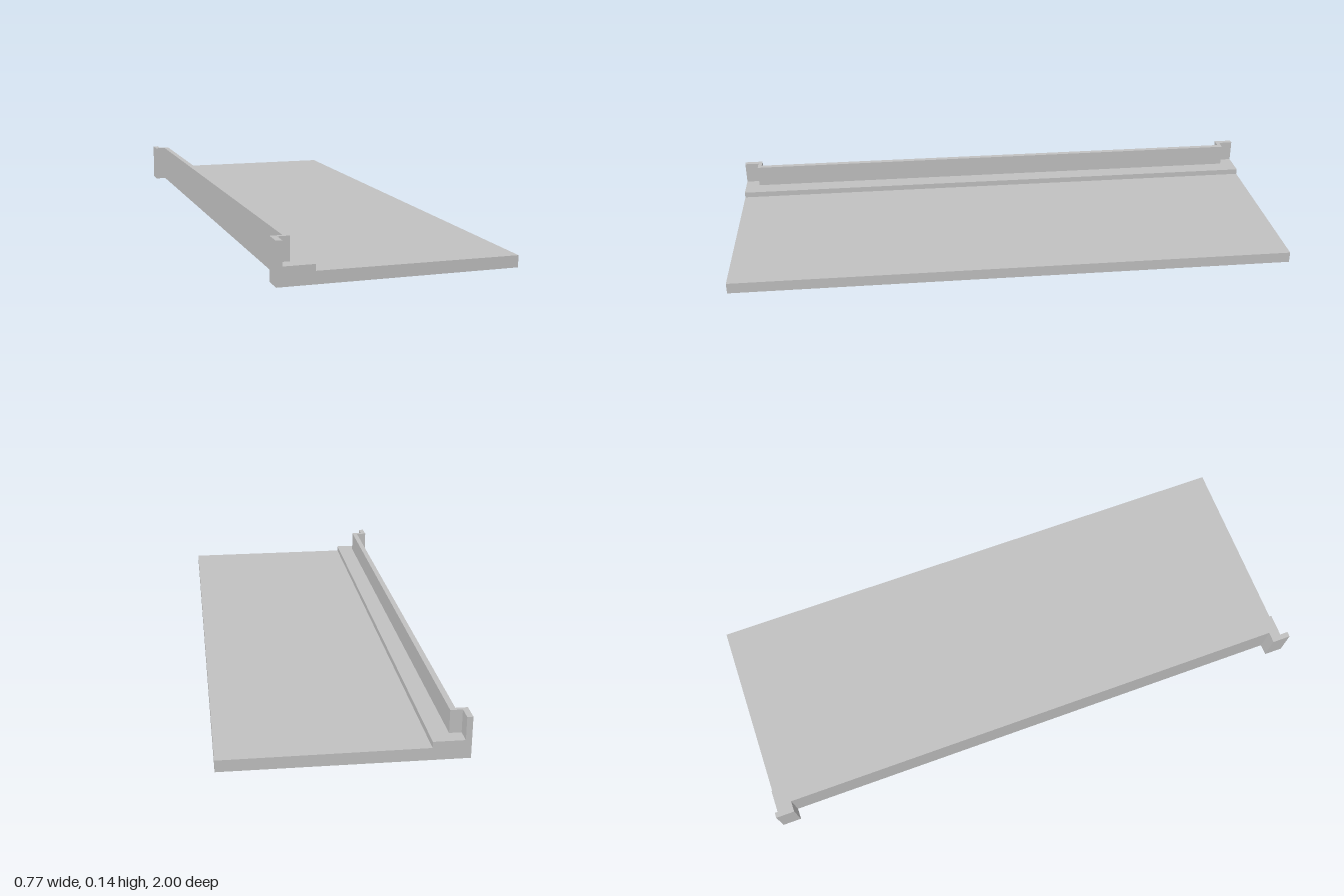
import * as THREE from 'three';

// Open-bottomed thin shell tray: sloping deck, raised ledge, upright rail with hooked ends
const X = 0.387;         // half width
const LEDGE_X = -0.267;  // edge of the raised ledge
const DECK_Y = 0.0405, EDGE_Y = 0.0385, LEDGE_Y = 0.061, TOP_Y = 0.138;

// Plan of the rail as [x, z] points
const outerPath = [[-X, -1], [-X, -0.934], [-0.348, -0.934], [-0.348, 0.934], [-X, 0.934], [-X, 1]];
const innerPath = [[-0.368, 1], [-0.368, 0.948], [-0.329, 0.948], [-0.329, -0.948], [-0.368, -0.948], [-0.368, -1]];

// Ruled surface between two matching lists of 3D points, with flat facets
function ruled(low, high) {
  const pos = [];
  for (let i = 0; i < low.length - 1; i++) {
    const a = low[i], b = low[i + 1], c = high[i + 1], d = high[i];
    pos.push(...a, ...b, ...c, ...a, ...c, ...d);
  }
  const geo = new THREE.BufferGeometry();
  geo.setAttribute('position', new THREE.Float32BufferAttribute(pos, 3));
  geo.computeVertexNormals();
  return geo;
}

const at = (path, y) => path.map(([x, z]) => [x, y, z]);
const wall = (path, y0, y1) => ruled(at(path, y0), at(path, y1));
const face = (pts) => new THREE.ShapeGeometry(new THREE.Shape(pts.map(([x, y]) => new THREE.Vector2(x, y))));
// Level face; the plan is symmetric in z, so the rotation keeps it in place
const level = (pts, y) => face(pts).rotateX(-Math.PI / 2).translate(0, y, 0);

export function createModel() {
  const group = new THREE.Group();
  const grey = new THREE.MeshStandardMaterial({ color: 0xc0c0c0, side: THREE.DoubleSide });
  grey.name = 'light grey';

  function add(name, geo) {
    const mesh = new THREE.Mesh(geo, grey);
    mesh.name = name;
    group.add(mesh);
    return mesh;
  }

  // Deck and ledge
  const line = (x) => [[x, 1], [x, -1]];
  add('deck', ruled(at(line(LEDGE_X), DECK_Y), at(line(X), EDGE_Y)).scale(1, 1, 1));
  add('ledgeRiser', wall(line(LEDGE_X), DECK_Y, LEDGE_Y));
  add('ledge', level([...innerPath, [LEDGE_X, -1], [LEDGE_X, 1]], LEDGE_Y));
  add('deckEdge', wall(line(X), 0, EDGE_Y));

  // Rail with hooked ends
  add('railOuterWall', wall(outerPath, 0, TOP_Y));
  add('railInnerWall', wall(innerPath, LEDGE_Y, TOP_Y));
  add('railCap', level([...outerPath, ...innerPath], TOP_Y));

  // Matching end walls
  const endGeo = face([
    [-X, 0], [X, 0], [X, EDGE_Y], [LEDGE_X, DECK_Y], [LEDGE_X, LEDGE_Y],
    [-0.368, LEDGE_Y], [-0.368, TOP_Y], [-X, TOP_Y],
  ]).translate(0, 0, 1);
  add('frontEndWall', endGeo);
  add('backEndWall', endGeo).scale.z = -1;

  return group;
}
